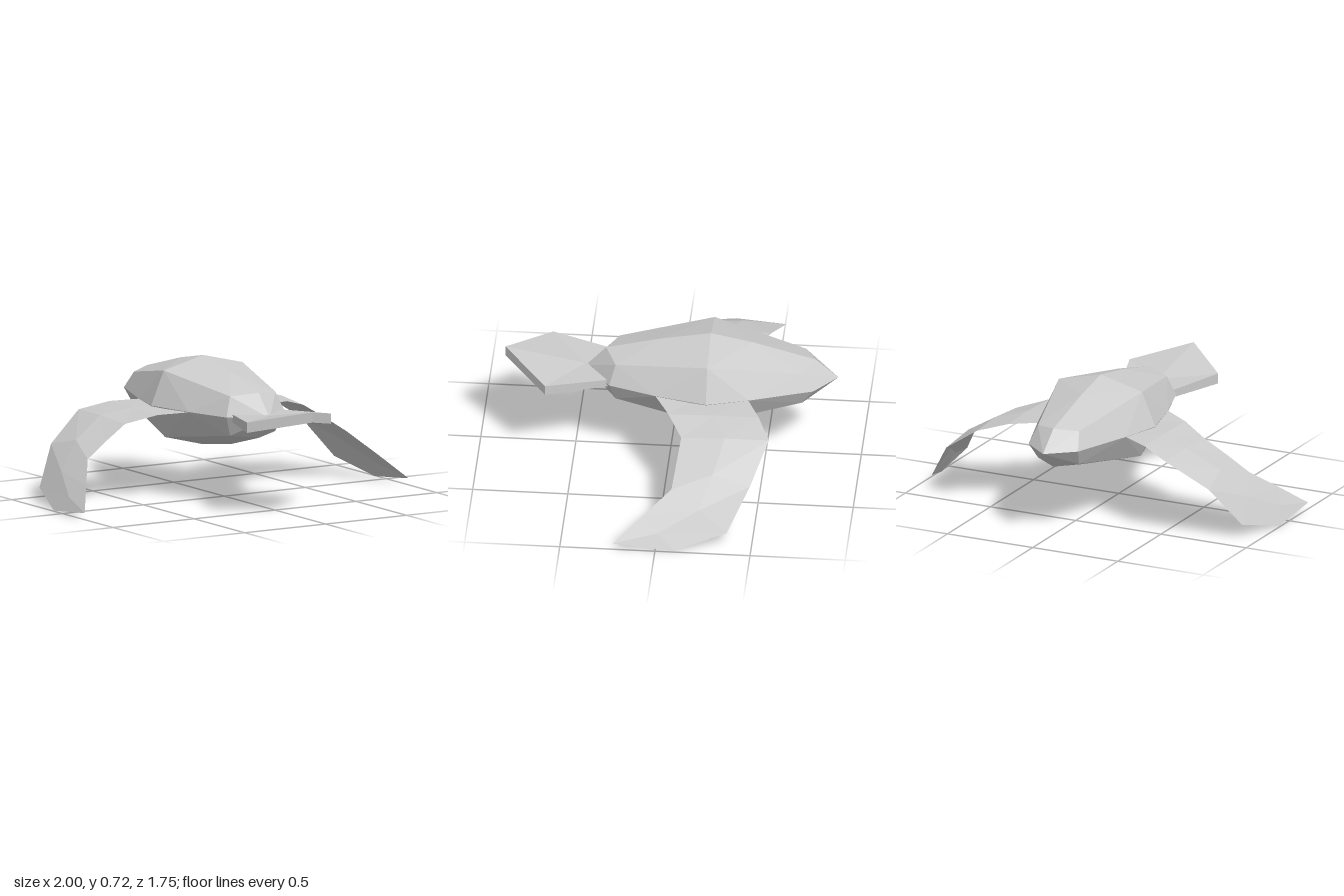
import * as THREE from 'three';

// Flat-shaded mesh from a list of triangles, each three [x, y, z] points
function facetMesh(name, triangles, side = THREE.FrontSide) {
  const geometry = new THREE.BufferGeometry();
  geometry.setAttribute('position', new THREE.Float32BufferAttribute(triangles.flat(2), 3));
  geometry.computeVertexNormals();
  const material = new THREE.MeshStandardMaterial({ color: 0xcccccc, flatShading: true, side });
  const mesh = new THREE.Mesh(geometry, material);
  mesh.name = name;
  return mesh;
}

// Turn a triangle so that it faces away from the body's long axis
function faceOutward(t) {
  const [a, b, c] = t.map((p) => new THREE.Vector3(...p));
  const normal = b.clone().sub(a).cross(c.clone().sub(a));
  const middle = a.add(b).add(c).divideScalar(3);
  const out = new THREE.Vector3(middle.x, middle.y - 0.48, (middle.z + 0.21) * 0.2);
  return normal.dot(out) < 0 ? [t[0], t[2], t[1]] : t;
}

function createBody() {
  const top = [[0, 0.585, -0.76], [0, 0.675, -0.43], [0, 0.72, -0.21], [0, 0.67, 0.06], [0, 0.6, 0.34]];
  const bottom = [[0, 0.375, -0.76], [0, 0.29, -0.43], [0, 0.245, -0.21], [0, 0.285, 0.06], [0, 0.36, 0.34]];
  const flank = [[0.145, 0.48, -0.76], [0.26, 0.48, -0.43], [0.32, 0.48, -0.21], [0.26, 0.48, 0.06], [0.18, 0.48, 0.31]];
  const shoulder = [[0.12, 0.57, -0.7], [0.243, 0.66, -0.21], [0.14, 0.585, 0.28]];
  const belly = [[0.12, 0.39, -0.7], [0.235, 0.305, -0.21], [0.14, 0.375, 0.28]];
  const ends = [[0, 0.48, -0.88], [0, 0.48, 0.45]];
  const triangles = [];
  // Each facet strip runs between a main line of five points and a diagonal line of three
  for (const [m, d] of [[top, shoulder], [flank, shoulder], [flank, belly], [bottom, belly]]) {
    const strip = [
      [m[0], m[1], d[0]], [m[1], d[0], d[1]], [m[1], m[2], d[1]],
      [m[2], m[3], d[1]], [m[3], d[1], d[2]], [m[3], m[4], d[2]],
      [ends[0], m[0], d[0]], [ends[1], m[4], d[2]],
    ];
    for (const t of strip) {
      triangles.push(faceOutward(t), faceOutward(t.map(([x, y, z]) => [-x, y, z])));
    }
  }
  return facetMesh('body', triangles);
}

// Kite-shaped slab with a raised tip
function createTail() {
  const upper = [[0.15, 0.495, 0.32], [0.26, 0.51, 0.64], [0, 0.575, 0.87], [-0.26, 0.51, 0.64], [-0.15, 0.495, 0.32]];
  const lower = upper.map(([x, y, z]) => [x, z < 0.4 ? 0.455 : y - 0.055, z]);
  const hubTop = [0, 0.495, 0.45];
  const hubBottom = [0, 0.455, 0.45];
  const triangles = [];
  upper.forEach((a, i) => {
    const j = (i + 1) % upper.length;
    const b = upper[j];
    triangles.push([hubTop, a, b].reverse(), [hubBottom, lower[i], lower[j]]);
    triangles.push([a, b, lower[j]], [a, lower[j], lower[i]]);
  });
  return facetMesh('tail', triangles, THREE.DoubleSide);
}

// Thin drooping wing, swept between its leading and trailing edges
function createWing(name, sign) {
  const leading = [[0.24, 0.48, -0.42], [0.4, 0.47, -0.495], [0.55, 0.43, -0.56], [0.77, 0.28, -0.48],
    [0.91, 0.075, -0.37], [0.99, 0, -0.1], [1, 0.035, 0.22]];
  const trailing = [[0.24, 0.48, 0.07], [0.4, 0.465, -0.02], [0.55, 0.42, -0.1], [0.68, 0.34, -0.085],
    [0.8, 0.26, -0.07], [0.9, 0.15, 0.075], [1, 0.035, 0.22]];
  const lift = [0, 0.005, 0.01, 0.015, 0.015, 0.008, 0];
  const rows = leading.map((a, i) => {
    const b = trailing[i];
    const ridge = a.map((v, k) => (v + b[k]) / 2 + (k < 2 ? lift[i] : 0));
    return [a, ridge, b].map(([x, y, z]) => [sign * x, y, z]);
  });
  const triangles = [];
  for (let i = 0; i < rows.length - 1; i++) {
    for (let k = 0; k < 2; k++) {
      const [a, b, c, d] = [rows[i][k], rows[i][k + 1], rows[i + 1][k + 1], rows[i + 1][k]];
      const pair = [[a, b, c]];
      if (i < rows.length - 2) pair.push([a, c, d]);
      else pair.push([a, b, d]);
      if (i === rows.length - 2) pair.shift();
      for (const t of pair) triangles.push(sign > 0 ? t : [t[0], t[2], t[1]]);
    }
  }
  return facetMesh(name, triangles, THREE.DoubleSide);
}

export function createModel() {
  const model = new THREE.Group();
  model.name = 'bird';
  model.add(createBody(), createTail(), createWing('leftWing', 1), createWing('rightWing', -1));
  return model;
}
